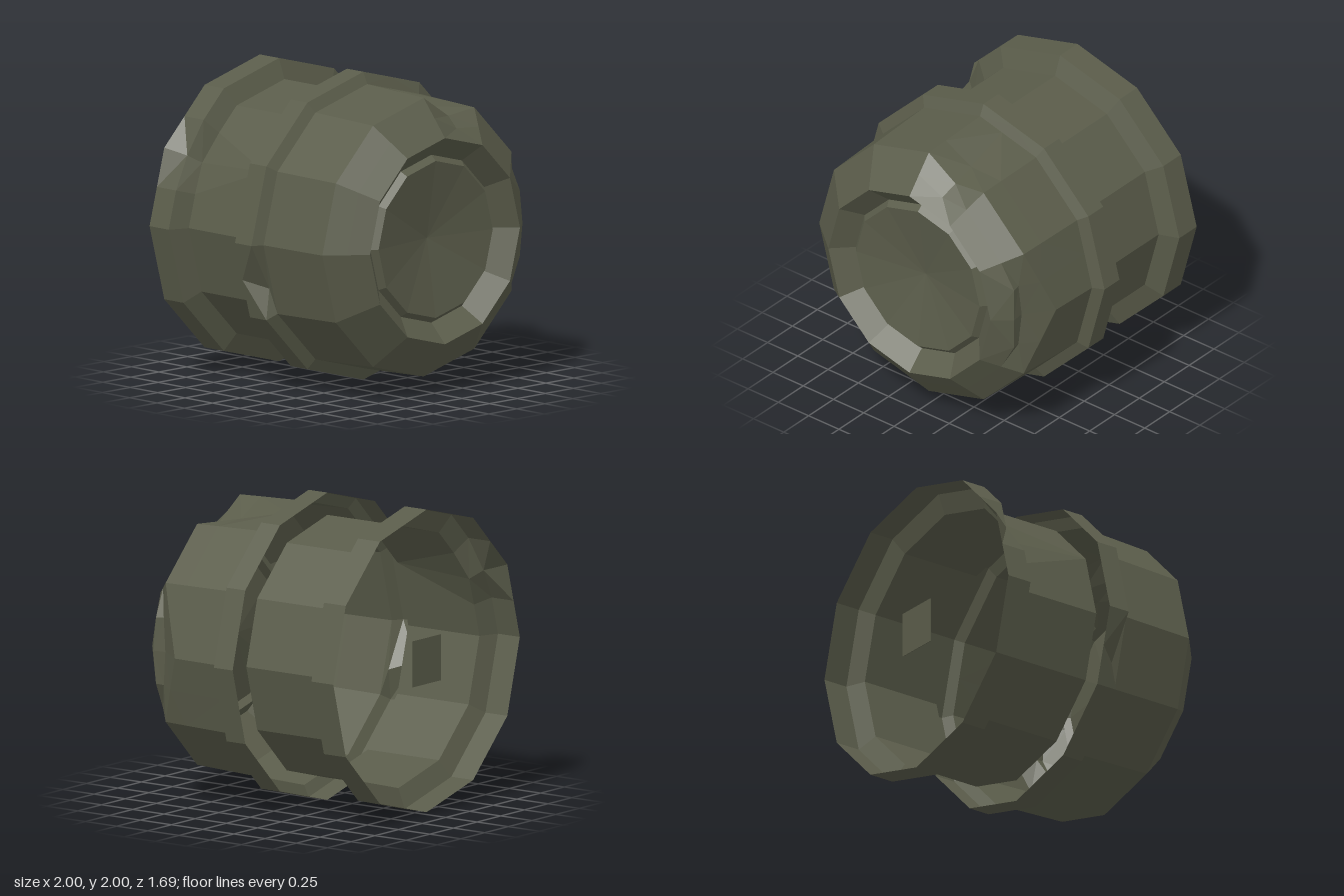
import * as THREE from 'three';

const SIDES = 24; // a 12-sided outline with an extra point in the middle of each side

// Shell along z from [radius, z] rings; dents move single points: [ring, index, x, y, z]
function shell(name, rings, material, dents = []) {
  const points = [];
  for (const [r, z] of rings) {
    for (let i = 0; i < SIDES; i++) {
      const a = (i * Math.PI * 2) / SIDES;
      const k = i % 2 ? r * Math.cos(Math.PI / 12) : r;
      points.push(new THREE.Vector3(k * Math.cos(a), k * Math.sin(a), z));
    }
  }
  for (const [ring, i, x, y, z] of dents) points[ring * SIDES + i].set(x, y, z);

  const index = [];
  for (let j = 0; j < rings.length - 1; j++) {
    for (let i = 0; i < SIDES; i++) {
      const n = (i + 1) % SIDES;
      const a = j * SIDES + i, b = j * SIDES + n, c = a + SIDES, d = b + SIDES;
      // mirror the diagonal on alternate sides so dents fold evenly
      if (i % 2) index.push(a, c, b, b, c, d);
      else index.push(a, c, d, a, d, b);
    }
  }
  const indexed = new THREE.BufferGeometry().setFromPoints(points);
  indexed.setIndex(index);
  const geometry = indexed.toNonIndexed();
  geometry.computeVertexNormals();
  const mesh = new THREE.Mesh(geometry, material);
  mesh.name = name;
  return mesh;
}

export function createModel() {
  const olive = new THREE.MeshStandardMaterial({
    color: 0x5a5c4a, flatShading: true, side: THREE.DoubleSide,
  });
  olive.name = 'oliveMetal';

  const model = new THREE.Group();
  model.name = 'dentedCanister';
  const body = new THREE.Group();
  body.name = 'body';
  body.position.y = 1;
  model.add(body);

  // Front housing with its collar, open at the back of the collar
  body.add(shell('frontHousing', [
    [0.67, 0.845], [0.785, 0.75], [0.905, 0.65], [0.912, 0.48],
    [0.925, 0.135], [1, 0.1], [1, -0.05],
  ], olive, [
    // chipped shoulder on the left side
    [2, 0, 0.775, 0, 0.66],
    [2, 1, 0.765, 0.22, 0.68], [2, 23, 0.765, -0.22, 0.68],
    [1, 1, 0.775, 0.215, 0.735], [1, 23, 0.775, -0.215, 0.735],
    [3, 1, 0.85, 0.225, 0.565], [3, 23, 0.85, -0.225, 0.565],
    // crease on the top
    [1, 5, 0.195, 0.695, 0.75], [2, 5, 0.22, 0.76, 0.65],
    [3, 5, 0.21, 0.8, 0.48], [4, 5, 0.18, 0.876, 0.135],
    // knock in the collar
    [5, 13, -0.83, -0.3, 0.09],
  ]));

  // Recessed front rim and dished face
  body.add(shell('frontRim', [[0.545, 0.72], [0.67, 0.845]], olive));
  body.add(shell('frontFace', [[0.001, 0.68], [0.51, 0.76], [0.545, 0.72]], olive));

  // Hollow barrel with flared rear flange, open at both ends
  body.add(shell('rearBarrel', [
    [0.855, -0.05], [0.855, -0.62], [0.985, -0.67], [0.985, -0.845],
  ], olive, [
    [1, 10, -0.7, 0.4, -0.655],
    [2, 10, -0.78, 0.45, -0.71],
  ]));

  // Small plate in the middle of the rear opening
  const plate = new THREE.Mesh(new THREE.BoxGeometry(0.3, 0.3, 0.004), olive);
  plate.name = 'rearPlate';
  plate.position.z = -0.843;
  body.add(plate);

  return model;
}
